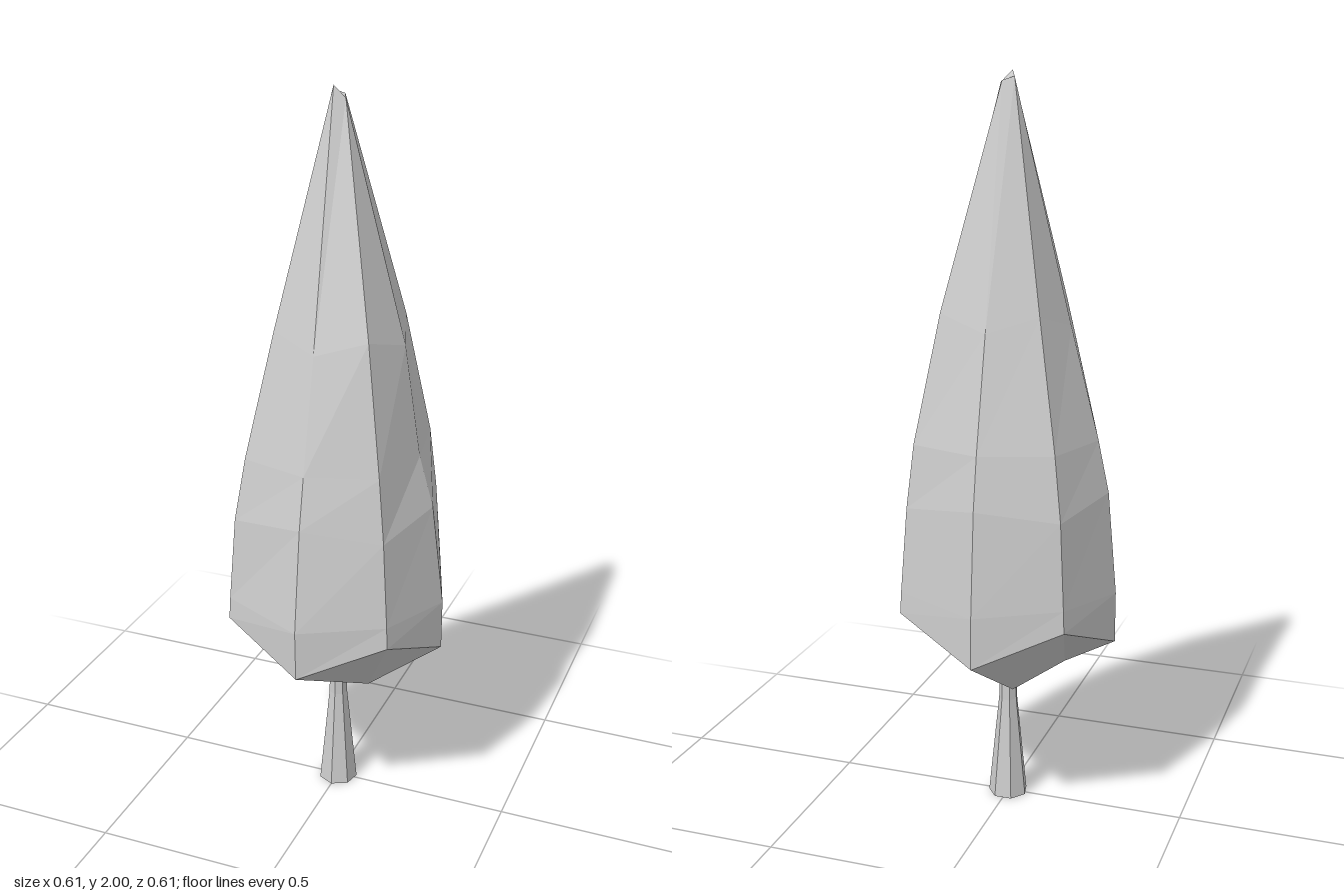
import * as THREE from 'three';

const grey = new THREE.MeshStandardMaterial({ color: 0xcccccc, flatShading: true });

// Eight-sided foliage: each ring has its heights (sides, diagonals) and
// radii for the eight directions, running from +x towards +z.
const rings = [
  { y: [0.5, 0.6], r: [0.305, 0.322, 0.305, 0.322, 0.305, 0.322, 0.305, 0.322] },
  { y: [0.64, 0.66], r: [0.305, 0.318, 0.308, 0.318, 0.305, 0.318, 0.302, 0.318] },
  { y: [0.92, 0.89], r: [0.27, 0.292, 0.27, 0.298, 0.28, 0.298, 0.278, 0.298] },
  { y: [1.06, 1.06], r: [0.23, 0.262, 0.24, 0.265, 0.25, 0.265, 0.253, 0.275] },
  { y: [1.36, 1.4], r: [0.185, 0.19, 0.168, 0.178, 0.172, 0.178, 0.182, 0.195] },
];
// Blunt tip: each corner is shared by two neighbouring directions
const tip = [[0.02, 1.97, 0], [-0.01, 2, 0.005], [-0.025, 1.985, -0.025], [0.005, 1.975, -0.035]];
// Three corners of the crooked underside
const under = [[0.1, 0.345, 0.02], [-0.15, 0.4, 0.05], [-0.05, 0.368, -0.11]];

function foliageGeometry() {
  const points = [];
  for (const { y, r } of rings) {
    r.forEach((radius, i) => {
      const a = (i * Math.PI) / 4;
      points.push([radius * Math.cos(a), y[i % 2], radius * Math.sin(a)]);
    });
  }
  const tipStart = points.length;
  const tipOf = [0, 0, 1, 1, 2, 2, 3, 3];
  points.push(...tip);
  const A = points.length, B = A + 1, C = A + 2;
  points.push(...under);

  const index = [];
  const fan = (...p) => {
    for (let k = 1; k < p.length - 1; k++) index.push(p[0], p[k], p[k + 1]);
  };
  // Sides, ring by ring up to the tip
  for (let k = 0; k < rings.length; k++) {
    for (let i = 0; i < 8; i++) {
      const j = (i + 1) % 8;
      const last = k === rings.length - 1;
      const up = (n) => (last ? tipStart + tipOf[n] : (k + 1) * 8 + n);
      index.push(k * 8 + i, up(i), k * 8 + j);
      if (up(i) !== up(j)) index.push(up(i), up(j), k * 8 + j);
    }
  }
  // Tip cap
  fan(tipStart, tipStart + 3, tipStart + 2, tipStart + 1);
  // Underside facets
  fan(A, 0, 1, 2);
  fan(A, 2, 3, B);
  fan(B, 3, 4);
  fan(5, 6, C, B, 4);
  fan(7, 0, A, C, 6);
  fan(A, B, C);

  const geometry = new THREE.BufferGeometry();
  geometry.setAttribute('position', new THREE.Float32BufferAttribute(points.flat(), 3));
  geometry.setIndex(index);
  const flat = geometry.toNonIndexed();
  flat.computeVertexNormals();
  return flat;
}

export function createModel() {
  const group = new THREE.Group();
  group.name = 'tree';

  const foliage = new THREE.Mesh(foliageGeometry(), grey);
  foliage.name = 'foliage';
  group.add(foliage);

  // Flared trunk, closed at the foot
  const profile = [[0, 0], [0.055, 0], [0.026, 0.29], [0.022, 0.45]].map(([x, y]) => new THREE.Vector2(x, y));
  const trunk = new THREE.Mesh(new THREE.LatheGeometry(profile, 7), grey);
  trunk.name = 'trunk';
  group.add(trunk);

  return group;
}
